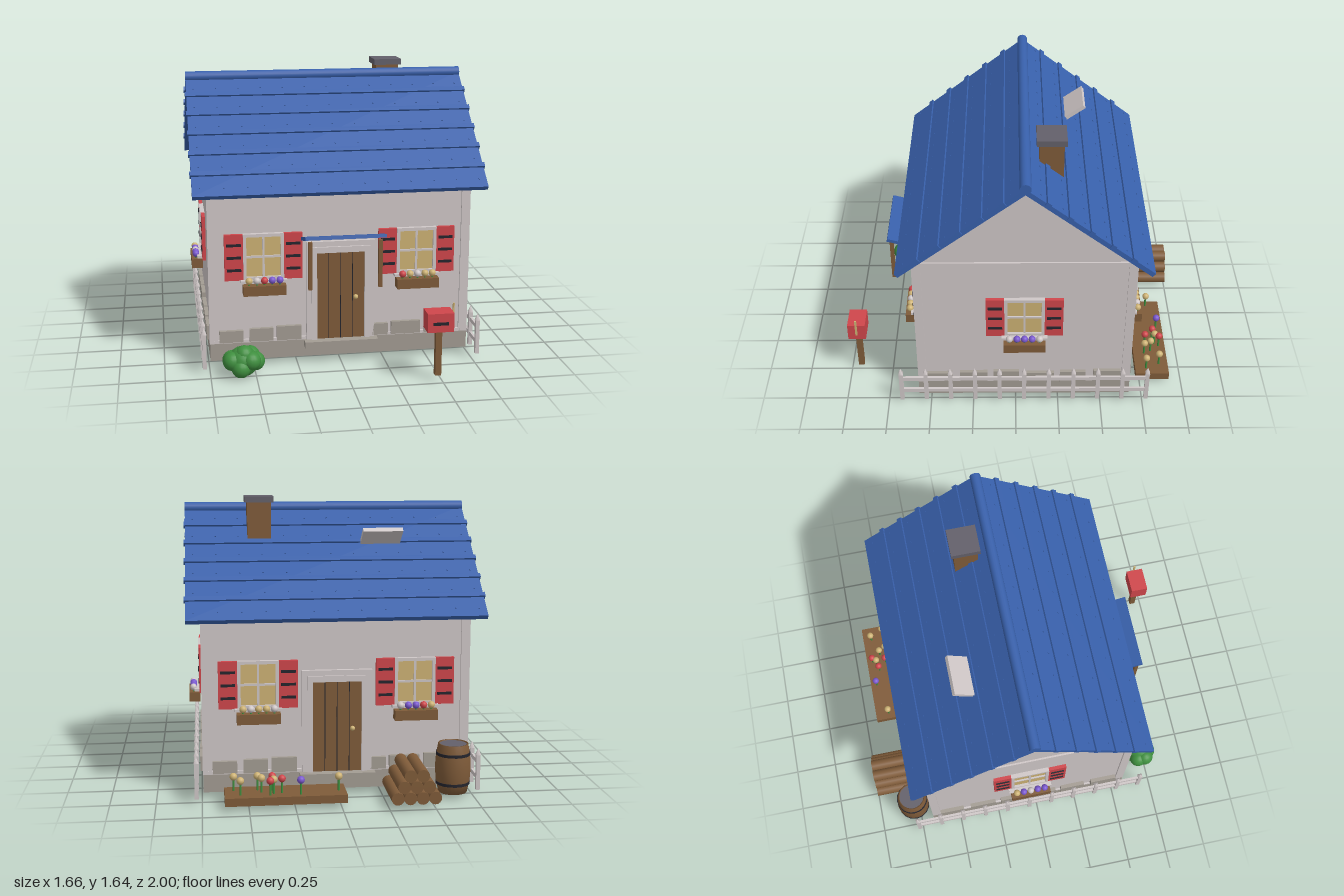
import * as THREE from 'three';

const mat = (name, color) => Object.assign(new THREE.MeshStandardMaterial({ color }), { name });
const M = {
  wall: mat('pale plaster', 0xcfc7c7), stone: mat('stone', 0xa39c93), blue: mat('blue roof', 0x3860ab),
  wood: mat('brown wood', 0x7f5b39), red: mat('red paint', 0xcf464b), tan: mat('warm yellow', 0xcdb274),
  dark: mat('dark iron', 0x24242c), slate: mat('slate', 0x63606a), green: mat('leaf green', 0x3f8f3f),
  purple: mat('purple petals', 0x7a58cf),
};

const CZ = -0.05; // depth centre of the house
const WX = 0.735, WZ = 0.61; // wall half sizes

function add(parent, name, geo, m, x = 0, y = 0, z = 0) {
  const mesh = new THREE.Mesh(geo, m);
  mesh.name = name;
  mesh.position.set(x, y, z);
  parent.add(mesh);
  return mesh;
}
const box = (p, name, m, w, h, d, x, y, z) => add(p, name, new THREE.BoxGeometry(w, h, d), m, x, y, z);
const ball = (p, name, m, r, x, y, z) => add(p, name, new THREE.SphereGeometry(r, 16, 12), m, x, y, z);
const rod = (p, name, m, r, h, x, y, z) => add(p, name, new THREE.CylinderGeometry(r, r, h, 16), m, x, y, z);
function group(parent, name, x = 0, y = 0, z = 0) {
  const g = new THREE.Group();
  g.name = name;
  g.position.set(x, y, z);
  parent.add(g);
  return g;
}

// Shuttered window with a flower box; z = 0 is the wall surface
function makeWindow(parent, x, flowers) {
  const g = group(parent, 'window', x, 0.637, 0);
  box(g, 'glass', M.tan, 0.2, 0.25, 0.008, 0, 0, 0.006);
  for (const s of [-1, 1]) {
    box(g, 'frameSide', M.wall, 0.018, 0.265, 0.03, s * 0.105, 0, 0.01);
    box(g, 'frameRail', M.wall, 0.228, 0.018, 0.03, 0, s * 0.124, 0.01);
    box(g, 'shutter', M.red, 0.105, 0.265, 0.02, s * 0.166, 0, 0.012);
    for (const y of [-0.072, 0, 0.072]) box(g, 'shutterSlat', M.dark, 0.08, 0.015, 0.006, s * 0.166, y, 0.024);
  }
  box(g, 'muntinUpright', M.wall, 0.012, 0.25, 0.018, 0, 0, 0.01);
  box(g, 'muntinBar', M.wall, 0.2, 0.012, 0.018, 0, 0, 0.01);
  box(g, 'sill', M.wall, 0.26, 0.016, 0.05, 0, -0.137, 0.025);
  box(g, 'flowerBox', M.wood, 0.24, 0.056, 0.065, 0, -0.18, 0.05);
  flowers.forEach((m, i) => {
    const fx = (i - 2) * 0.043;
    rod(g, 'stem', M.green, 0.005, 0.03, fx, -0.145, 0.057);
    ball(g, 'flower', m, 0.02, fx, -0.127, 0.057);
  });
}

// Plank door with a stepped frame and a stone step
function makeDoor(parent) {
  const g = group(parent, 'door');
  box(g, 'doorPanel', M.wood, 0.272, 0.516, 0.02, 0, 0.388, 0.008);
  for (const x of [-0.068, 0, 0.068]) box(g, 'plankGap', M.dark, 0.004, 0.51, 0.004, x, 0.388, 0.017);
  for (const s of [-1, 1]) {
    box(g, 'frameInner', M.wall, 0.03, 0.55, 0.045, s * 0.151, 0.405, 0.012);
    box(g, 'frameOuter', M.wall, 0.03, 0.58, 0.03, s * 0.18, 0.42, 0.008);
  }
  box(g, 'lintelInner', M.wall, 0.332, 0.034, 0.045, 0, 0.663, 0.012);
  box(g, 'lintelOuter', M.wall, 0.39, 0.03, 0.03, 0, 0.695, 0.008);
  ball(g, 'knob', M.tan, 0.014, 0.085, 0.38, 0.03);
  box(g, 'doorstep', M.stone, 0.42, 0.035, 0.1, 0, 0.117, 0.02);
}

// Base stones between two positions along a wall
function baseStones(parent, spans) {
  spans.forEach(([a, b], i) => {
    const h = 0.068 + 0.007 * (i % 3);
    box(parent, 'baseStone', M.stone, b - a, h, 0.03, (a + b) / 2, 0.14 + h / 2, 0.008);
  });
}

function makeFence(parent, x) {
  const g = group(parent, 'fence', x, 0, CZ);
  for (let i = 0; i <= 10; i++) {
    const z = -0.72 + i * 0.144;
    box(g, 'picket', M.wall, 0.022, 0.2, 0.024, 0, 0.13, z);
    add(g, 'picketTip', new THREE.ConeGeometry(0.019, 0.04, 4).rotateY(Math.PI / 4), M.wall, 0, 0.25, z);
  }
  for (const y of [0.1, 0.19]) box(g, 'rail', M.wall, 0.014, 0.024, 1.46, 0, y, 0);
}

// One roof slope running down from the ridge, with course strips and nails
function makeSlope(parent, turn) {
  const side = group(parent, 'roofSide');
  side.rotation.y = turn;
  const g = group(side, 'roofSlope', 0, 1.56, 0);
  g.rotation.x = Math.atan2(0.56, 0.71);
  box(g, 'roofSlab', M.blue, 1.645, 0.028, 0.895, 0, -0.008, 0.447);
  const nail = new THREE.BoxGeometry(0.007, 0.006, 0.007);
  for (let i = 1; i <= 6; i++) {
    if (i < 6) box(g, 'courseStrip', M.blue, 1.66, 0.026, 0.03, 0, 0.004, i * 0.148);
    for (let k = 0; k < 13; k++) add(g, 'roofNail', nail, M.blue, -0.78 + k * 0.13, 0.007, i * 0.148 - 0.05);
  }
}

export function createModel() {
  const root = new THREE.Group();
  root.name = 'cottage';
  const house = group(root, 'house', 0, 0, CZ);

  // Foundation, walls and timber trim
  box(house, 'foundation', M.stone, 1.485, 0.1, 1.245, 0, 0.083, 0);
  box(house, 'walls', M.wall, WX * 2, 0.88, WZ * 2, 0, 0.57, 0);
  for (const sx of [-1, 1]) {
    for (const sz of [-1, 1]) box(house, 'cornerPost', M.wall, 0.05, 0.89, 0.05, sx * 0.72, 0.575, sz * 0.597);
    for (const [y, h] of [[1.01, 0.03], [0.142, 0.018]]) {
      box(house, 'sideBeam', M.wall, 0.04, h, 1.245, sx * 0.725, y, 0);
      box(house, 'longBeam', M.wall, 1.48, h, 0.04, 0, y, sx * 0.602);
    }
    // Gable triangle
    const tri = new THREE.Shape([[-0.58, 1.02], [0.58, 1.02], [0, 1.525]].map(p => new THREE.Vector2(...p)));
    const gable = new THREE.ExtrudeGeometry(tri, { depth: 0.03, bevelEnabled: false }).rotateY(Math.PI / 2);
    add(house, 'gable', gable, M.wall, sx * 0.72 - 0.015, 0, 0);
  }

  // Four facades, each facing its own +z
  const { tan: T, wall: W, red: R, purple: P } = M;
  const longSpans = [[-0.69, -0.555], [-0.52, -0.385], [-0.365, -0.225], [0.155, 0.275], [0.295, 0.465], [0.49, 0.63]];
  const sideSpans = [0, 1, 2, 3, 4, 5].map(i => [-0.57 + i * 0.195, -0.42 + i * 0.195 + 0.01 * (i % 2)]);
  const facades = [
    [0, WZ, [[-0.435, [T, W, R, P, P]], [0.435, [R, T, W, T, T]]], true],
    [Math.PI, WZ, [[-0.435, [T, W, T, T, W]], [0.435, [W, P, P, R, T]]], true],
    [Math.PI / 2, WX, [[0, [W, P, P, P, W]]], false],
    [-Math.PI / 2, WX, [[0, [T, P, W, P, P]]], false],
  ];
  for (const [turn, dist, windows, hasDoor] of facades) {
    const f = group(house, 'facade', Math.sin(turn) * dist, 0, Math.cos(turn) * dist);
    f.rotation.y = turn;
    for (const [x, flowers] of windows) makeWindow(f, x, flowers);
    if (hasDoor) makeDoor(f);
    baseStones(f, hasDoor ? longSpans : sideSpans);
  }

  // Awning over the front door
  const awning = group(root, 'awning', 0, 0.755, 0.665);
  box(awning, 'awningSlab', M.blue, 0.45, 0.02, 0.2, 0, 0, 0).rotation.x = -0.27;
  for (const s of [-1, 1]) box(awning, 'awningPost', M.wood, 0.022, 0.27, 0.022, s * 0.195, -0.135, 0.073);

  // Roof, ridge, chimney and raised roof hatch
  makeSlope(house, 0);
  makeSlope(house, Math.PI);
  rod(house, 'ridge', M.blue, 0.031, 1.645, 0, 1.565, 0).rotation.z = Math.PI / 2;
  box(root, 'chimney', M.wood, 0.135, 0.26, 0.135, 0.4, 1.48, -0.196);
  box(root, 'chimneyCap', M.slate, 0.165, 0.034, 0.165, 0.4, 1.622, -0.196);
  box(root, 'roofHatch', M.wall, 0.228, 0.024, 0.14, -0.293, 1.415, -0.352).rotation.x = 0.63;

  makeFence(root, 0.78);
  makeFence(root, -0.78);

  // Mailbox
  const mail = group(root, 'mailbox', 0.48, 0, 0.942);
  box(mail, 'mailPost', M.wood, 0.034, 0.27, 0.034, 0, 0.165, 0);
  box(mail, 'mailBody', M.red, 0.146, 0.106, 0.104, 0, 0.346, 0);
  box(mail, 'mailSlot', M.dark, 0.085, 0.016, 0.008, 0, 0.342, 0.054);
  box(mail, 'mailFlag', M.tan, 0.008, 0.105, 0.012, 0.081, 0.388, 0);

  // Bush
  const bush = group(root, 'bush', -0.57, 0, 0.73);
  ball(bush, 'leaves', M.green, 0.085, 0, 0.087, 0);
  ball(bush, 'leaves', M.green, 0.052, 0.005, 0.13, 0.015);
  for (let i = 0; i < 7; i++) {
    const a = (i / 7) * Math.PI * 2;
    ball(bush, 'leaves', M.green, 0.053, Math.cos(a) * 0.068, 0.085 + 0.022 * Math.sin(i * 2.3), Math.sin(a) * 0.05);
  }

  // Barrel
  const barrel = group(root, 'barrel', -0.635, 0.03, -0.78);
  const stave = [[0, 0], [0.08, 0], [0.094, 0.07], [0.099, 0.14], [0.094, 0.21], [0.083, 0.275], [0.076, 0.275], [0.076, 0.26]];
  add(barrel, 'barrelBody', new THREE.LatheGeometry(stave.map(p => new THREE.Vector2(...p)), 24), M.wood);
  rod(barrel, 'barrelLid', M.slate, 0.078, 0.01, 0, 0.265, 0);
  for (const y of [0.055, 0.22]) rod(barrel, 'barrelHoop', M.dark, 0.096, 0.016, 0, y, 0);

  // Firewood stack
  const stack = group(root, 'firewood', -0.393, 0.03, -0.84);
  for (let row = 0; row < 3; row++) {
    for (let i = 0; i < 4 - row; i++) {
      rod(stack, 'log', M.wood, 0.035, 0.32, (i - (3 - row) / 2) * 0.068, 0.035 + row * 0.062, 0).rotation.x = Math.PI / 2;
    }
  }

  // Flower bed behind the house
  const bed = group(root, 'flowerBed', 0.3, 0, -0.825);
  box(bed, 'bedBox', M.wood, 0.66, 0.045, 0.2, 0, 0.053, 0);
  const blooms = [[0.01, -0.84, T], [0.22, -0.885, P], [0.32, -0.85, R], [0.385, -0.885, R], [0.37, -0.8, R],
    [0.365, -0.86, T], [0.43, -0.83, T], [0.45, -0.79, T], [0.545, -0.87, T], [0.58, -0.79, T]];
  for (const [x, z, m] of blooms) {
    rod(bed, 'bedStem', M.green, 0.006, 0.08, x - 0.3, 0.11, z + 0.825);
    ball(bed, 'bedFlower', m, 0.021, x - 0.3, 0.155, z + 0.825);
  }
  return root;
}
